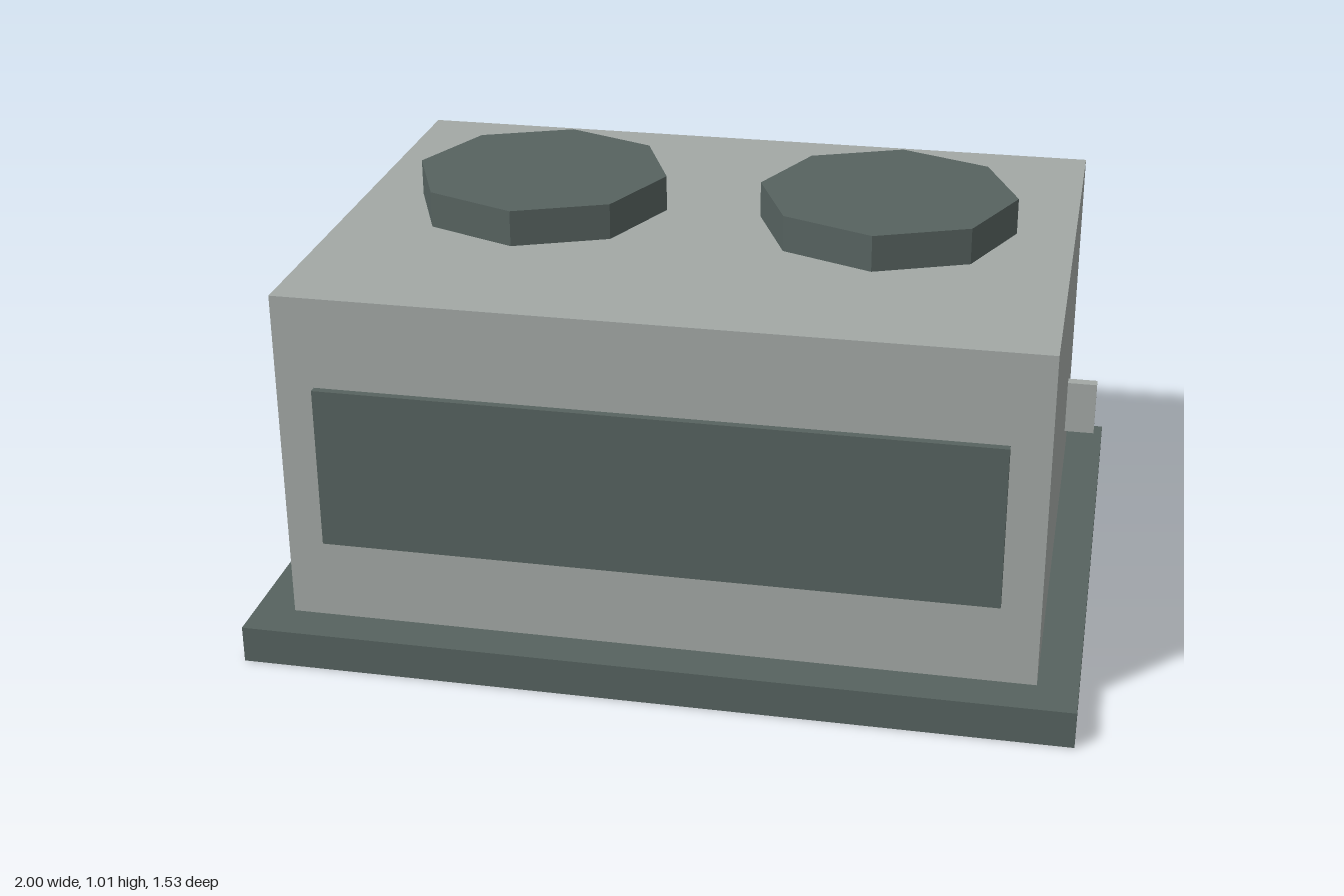
import * as THREE from 'three';

export function createModel() {
  const model = new THREE.Group();
  model.name = 'rooftopUnit';

  const lightGrey = new THREE.MeshStandardMaterial({ color: 0xa2a8a5, flatShading: true });
  lightGrey.name = 'lightGrey';
  const darkGrey = new THREE.MeshStandardMaterial({ color: 0x56625f, flatShading: true });
  darkGrey.name = 'darkGrey';

  const add = (name, geometry, material, x, y, z) => {
    const mesh = new THREE.Mesh(geometry, material);
    mesh.name = name;
    mesh.position.set(x, y, z);
    model.add(mesh);
  };

  // Box given by its minimum and maximum corners
  const addBox = (name, material, [x0, y0, z0], [x1, y1, z1]) =>
    add(name, new THREE.BoxGeometry(x1 - x0, y1 - y0, z1 - z0), material,
      (x0 + x1) / 2, (y0 + y1) / 2, (z0 + z1) / 2);

  // Wide base slab and main housing
  addBox('base', darkGrey, [-1, 0, -0.766], [1, 0.092, 0.766]);
  addBox('housing', lightGrey, [-0.903, 0.092, -0.662], [0.903, 0.925, 0.662]);

  // Raised front grille panel
  addBox('frontPanel', darkGrey, [-0.81, 0.297, 0.662], [0.81, 0.7, 0.681]);

  // Small plate on the left side
  addBox('sideTab', lightGrey, [0.903, 0.25, -0.413], [0.98, 0.392, -0.384]);

  // Octagonal fan covers on the roof
  for (const [name, x] of [['leftFan', 0.44], ['rightFan', -0.44]]) {
    add(name, new THREE.CylinderGeometry(0.32, 0.32, 0.09, 8), darkGrey, x, 0.97, -0.069);
  }

  return model;
}
